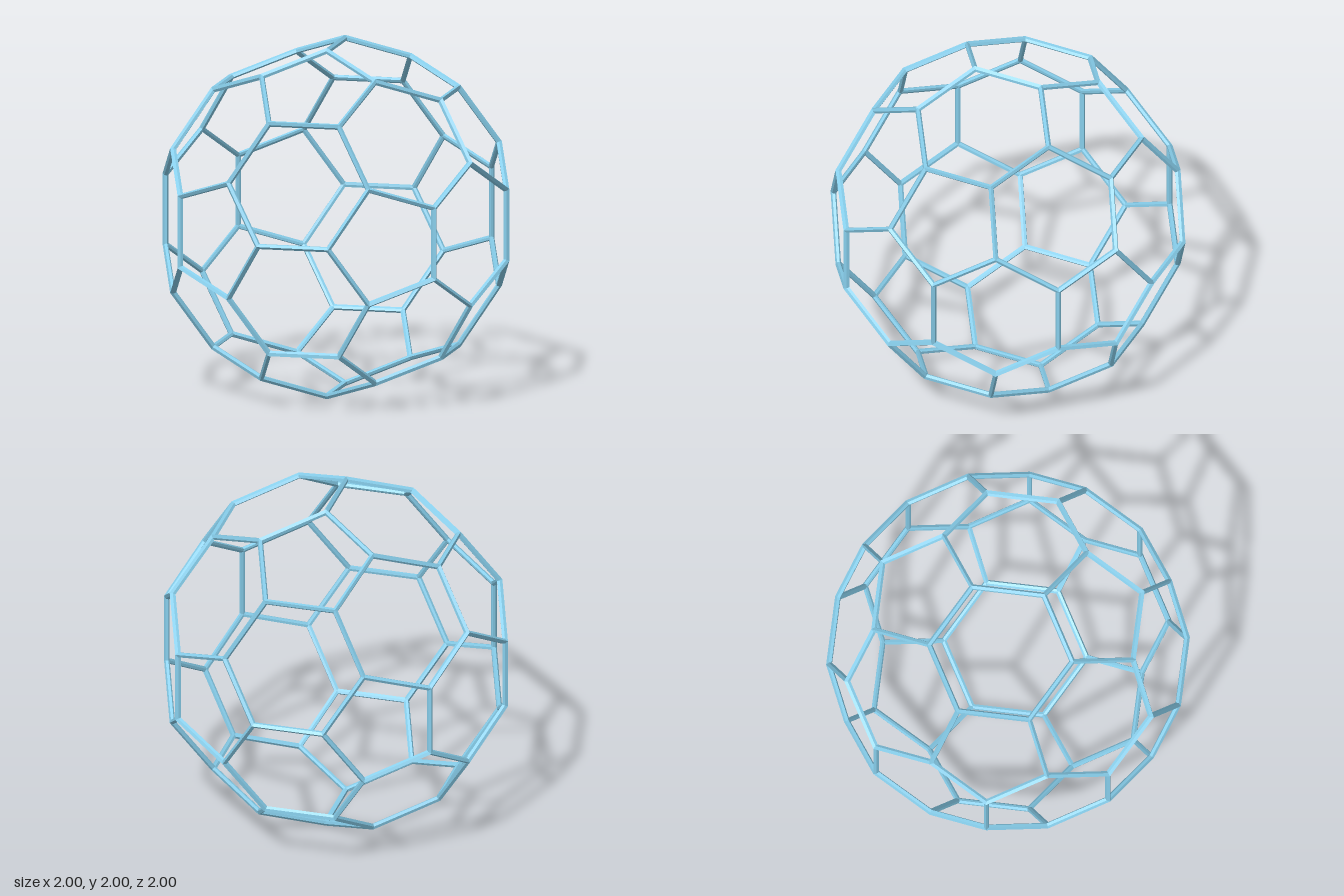
import * as THREE from 'three';

const PHI = (1 + Math.sqrt(5)) / 2;
const RADIUS = 0.0165; // strut thickness
const HALF_SIDES = 3; // facets on each half of a six-sided strut

// The 60 corners of a truncated icosahedron, edge length 2 before scaling
function cageCorners(scale) {
  const seeds = [[1, 0, 3 * PHI], [2 + PHI, 1, 2 * PHI], [2, PHI, 2 * PHI + 1]];
  const corners = new Map();
  for (const seed of seeds) {
    for (let turn = 0; turn < 3; turn++) {
      for (let signs = 0; signs < 8; signs++) {
        const p = [0, 1, 2].map((i) => seed[(i + turn) % 3] * (signs & (1 << i) ? -1 : 1) * scale + 0);
        corners.set(p.map((c) => Math.round(c * 1000) + 0).join(), new THREE.Vector3(...p));
      }
    }
  }
  return [...corners.values()];
}

// Half section of a strut at corner v, mitred between the edges to b and c
function mitredSection(v, b, c) {
  const out = v.clone().normalize();
  const toB = b.clone().sub(v).normalize();
  const toC = c.clone().sub(v).normalize();
  const inset = toB.clone().add(toC).normalize().divideScalar(Math.sin(toB.angleTo(toC) / 2));
  return Array.from({ length: HALF_SIDES + 1 }, (_, j) => {
    const t = Math.PI / 2 - (j * Math.PI) / HALF_SIDES;
    return v.clone()
      .addScaledVector(out, RADIUS * Math.sin(t))
      .addScaledVector(inset, RADIUS * Math.cos(t));
  });
}

function latticeGeometry() {
  const scale = (1 - RADIUS * 0.98) / (3 * PHI);
  const corners = cageCorners(scale);
  const neighbours = new Map(corners.map((a) => [a,
    corners.filter((b) => b !== a && a.distanceTo(b) < 2.1 * scale)]));
  const positions = [];

  // Each edge is visited in both directions, adding one half of the strut each time
  for (const a of corners) {
    for (const b of neighbours.get(a)) {
      const side = a.clone().add(b).cross(b.clone().sub(a));
      const nextOnSide = (v, other) => neighbours.get(v)
        .find((n) => n !== other && n.clone().sub(v).dot(side) > 0);
      const start = mitredSection(a, b, nextOnSide(a, b));
      const end = mitredSection(b, a, nextOnSide(b, a));
      for (let j = 0; j < HALF_SIDES; j++) {
        for (const p of [start[j], end[j], start[j + 1], end[j], end[j + 1], start[j + 1]]) {
          positions.push(p.x, p.y, p.z);
        }
      }
    }
  }
  const geometry = new THREE.BufferGeometry();
  geometry.setAttribute('position', new THREE.Float32BufferAttribute(positions, 3));
  geometry.computeVertexNormals();
  return geometry;
}

export function createModel() {
  const model = new THREE.Group();
  model.name = 'sphericalCage';

  // Open lattice of pentagons and hexagons
  const lattice = new THREE.Mesh(
    latticeGeometry(),
    new THREE.MeshStandardMaterial({ color: 0x87ceeb, flatShading: true }),
  );
  lattice.name = 'strutLattice';
  lattice.position.y = 1;
  model.add(lattice);
  return model;
}
